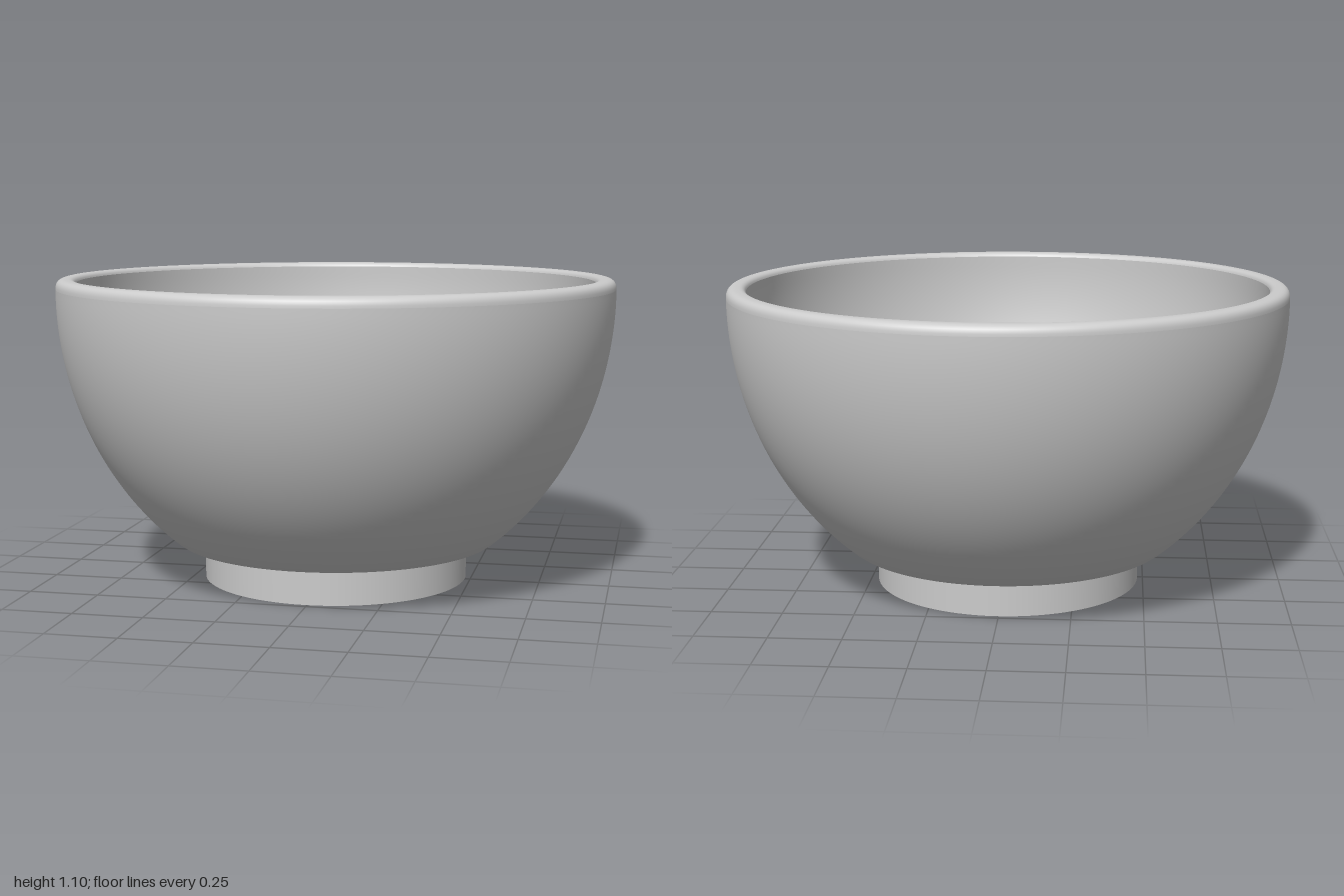
import * as THREE from 'three';

const SEGMENTS = 128;
const material = new THREE.MeshStandardMaterial({ color: 0xcccccc, side: THREE.DoubleSide });

// Points of a quadratic curve between two profile points
function curve(from, control, to, steps) {
  const v = (p) => new THREE.Vector2(...p);
  return new THREE.QuadraticBezierCurve(v(from), v(control), v(to)).getPoints(steps);
}

function lathe(name, points) {
  const profile = points.map((p) => (p.isVector2 ? p : new THREE.Vector2(...p)));
  const mesh = new THREE.Mesh(new THREE.LatheGeometry(profile, SEGMENTS), material);
  mesh.name = name;
  return mesh;
}

// Wall radius at height y, following an ellipse that is widest near the rim
function wall(radius, depth, yWide, yLow, yHigh, steps) {
  return Array.from({ length: steps + 1 }, (_, i) => {
    const y = yLow + ((yHigh - yLow) * i) / steps;
    const d = Math.min(0, y - yWide) / depth;
    return new THREE.Vector2(radius * Math.sqrt(1 - d * d), y);
  });
}

export function createModel() {
  const bowl = new THREE.Group();
  bowl.name = 'bowl';

  // Outside: slightly sloped underside, tight lower corner, curved wall
  bowl.add(lathe('outerWall', [
    [0.4, 0.128], [0.48, 0.131], [0.55, 0.136],
    ...curve([0.57, 0.138], [0.58, 0.14], [0.588, 0.149], 4),
    ...wall(1, 1.117, 1.05, 0.155, 1.06, 40),
  ]));

  // Lip: rounded outside, softly eased inside
  bowl.add(lathe('rim', [
    ...curve([1, 1.06], [1, 1.096], [0.965, 1.096], 8),
    ...curve([0.955, 1.096], [0.935, 1.096], [0.93, 1.08], 6),
  ]));

  // Inside: curved wall running down to a flat floor
  bowl.add(lathe('innerWall', [
    ...wall(0.93, 1.09, 1.05, 0.215, 1.08, 40).reverse(),
    ...curve([0.59, 0.213], [0.582, 0.208], [0.57, 0.208], 4),
    [0.5, 0.208], [0, 0.208],
  ]));

  // Foot ring: separate crisp surfaces around a shallow recess
  const foot = new THREE.Group();
  foot.name = 'foot';
  foot.add(
    lathe('footOutside', [[0.48, 0], [0.48, 0.135]]),
    lathe('footBottom', [[0.405, 0], [0.48, 0]]),
    lathe('footInside', [[0.405, 0.05], [0.405, 0]]),
    lathe('footRecess', [[0, 0.05], [0.405, 0.05]]),
  );
  bowl.add(foot);

  return bowl;
}
